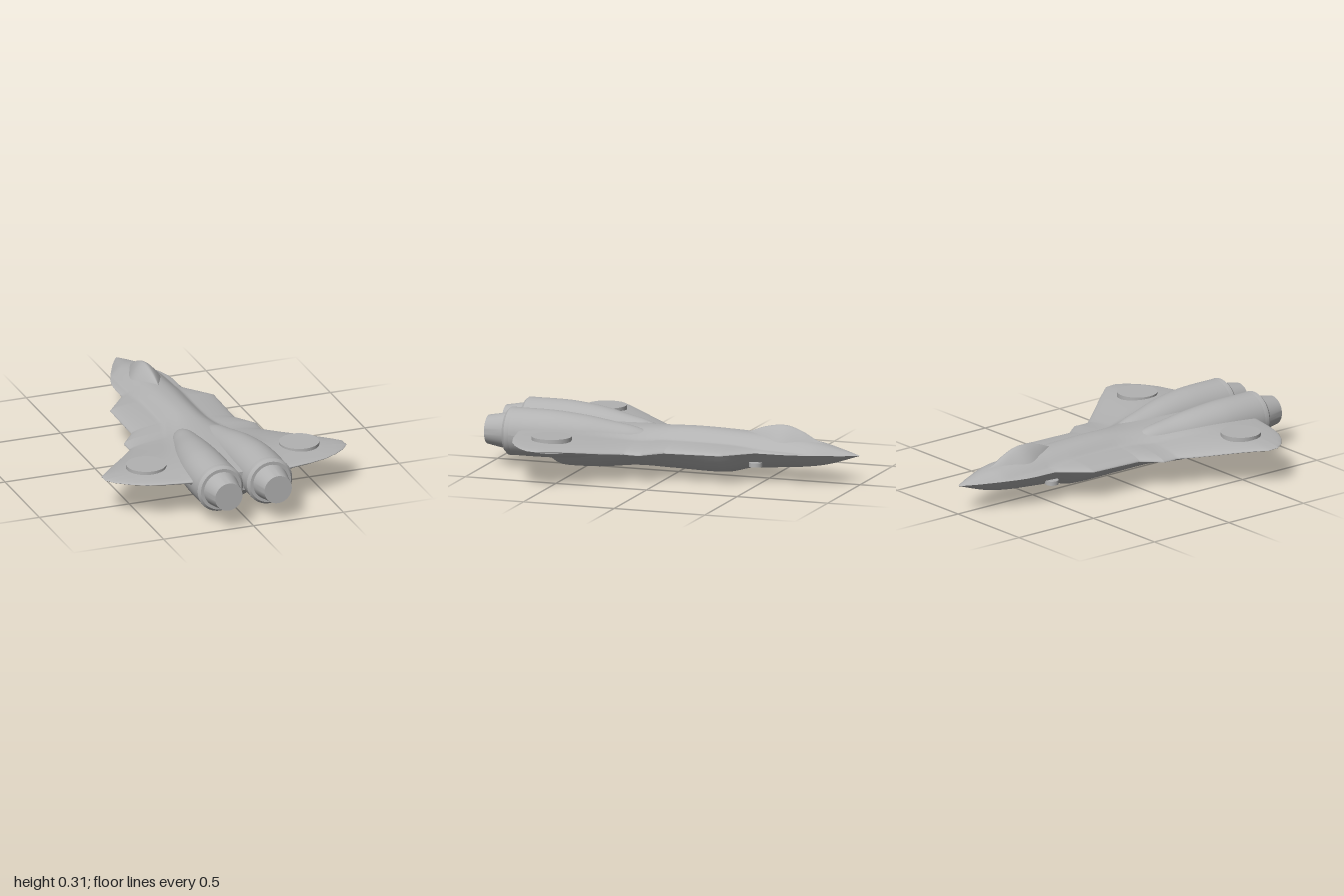
import * as THREE from 'three';
import { toCreasedNormals } from 'three/addons/utils/BufferGeometryUtils.js';

// Value at z from [z, value] keys: straight, or smoothed through the keys
function at(keys, z, smooth = true) {
  const n = keys.length - 1;
  if (z <= keys[0][0]) return keys[0][1];
  if (z >= keys[n][0]) return keys[n][1];
  let i = 0;
  while (z > keys[i + 1][0]) i++;
  const [z0, a] = keys[i], [z1, b] = keys[i + 1], d = z1 - z0, t = (z - z0) / d;
  if (!smooth) return a + (b - a) * t;
  const slope = (k) => {
    const p = keys[Math.max(k - 1, 0)], q = keys[Math.min(k + 1, n)];
    return (q[1] - p[1]) / (q[0] - p[0]);
  };
  const t2 = t * t, t3 = t2 * t;
  return (2 * t3 - 3 * t2 + 1) * a + (t3 - 2 * t2 + t) * d * slope(i)
    + (3 * t2 - 2 * t3) * b + (t3 - t2) * d * slope(i + 1);
}

// Surface over z stations; fn(z, v) gives [x, y] for v in 0..1
function loft(zs, cols, fn, flip) {
  const pos = [], idx = [], s = cols + 1;
  zs.forEach((z, i) => {
    for (let j = 0; j <= cols; j++) {
      pos.push(...fn(z, j / cols), z);
      if (i && j) {
        const d = i * s + j, c = d - 1, b = d - s, a = b - 1;
        if (flip) idx.push(a, b, c, b, d, c);
        else idx.push(a, c, b, b, c, d);
      }
    }
  });
  const g = new THREE.BufferGeometry();
  g.setAttribute('position', new THREE.Float32BufferAttribute(pos, 3));
  g.setIndex(idx);
  g.computeVertexNormals();
  return g;
}

function stations(from, to, n, extra = []) {
  const zs = Array.from({ length: n + 1 }, (_, i) => from + (to - from) * i / n);
  return [...new Set([...zs, ...extra])].sort((a, b) => a - b);
}

// Planform half-width, nose to tail
const outline = [[-1, 0], [-0.98, 0.014], [-0.95, 0.032], [-0.9, 0.06], [-0.8, 0.107], [-0.72, 0.14], [-0.66, 0.158],
  [-0.6, 0.166], [-0.48, 0.168], [-0.33, 0.29], [-0.02, 0.29], [0.08, 0.37], [0.17, 0.37], [0.54, 0.67],
  [0.6, 0.67], [0.65, 0.635], [0.7, 0.575], [0.74, 0.505], [0.77, 0.41], [0.785, 0.33], [0.8, 0.25]];
// Height of the sharp edge, and wing thickness above and below it
const edgeY = [[-1, 0.155], [-0.6, 0.165], [0, 0.155], [0.17, 0.152], [0.5, 0.193], [0.8, 0.205]];
const wingUp = [[-1, 0], [-0.6, 0.015], [-0.3, 0.035], [0.17, 0.045], [0.55, 0.033], [0.8, 0.012]];
const wingDown = [[-1, 0], [-0.5, 0.005], [0, 0.012], [0.17, 0.015], [0.5, 0.025], [0.8, 0.015]];
// Spine and belly lines with their half-widths
const spine = [[-1, 0.155], [-0.9, 0.182], [-0.78, 0.21], [-0.6, 0.23], [-0.38, 0.243], [-0.1, 0.25],
  [0.15, 0.24], [0.5, 0.235], [0.8, 0.225]];
const spineWidth = [[-1, 0.1], [-0.6, 0.13], [0, 0.13], [0.2, 0.19], [0.6, 0.33], [0.8, 0.28]];
const belly = [[-1, 0.155], [-0.8, 0.095], [-0.5, 0.063], [-0.42, 0.058], [-0.28, 0.025], [0, 0.027], [0.2, 0.03],
  [0.38, 0.01], [0.45, 0.005], [0.6, 0.003], [0.64, 0.012], [0.7, 0.055], [0.8, 0.12]];
const bellyWidth = [[-1, 0.12], [-0.5, 0.165], [-0.3, 0.18], [0.2, 0.21], [0.5, 0.25], [0.8, 0.25]];

function skin(wing, line, width, sign) {
  return (z, v) => {
    const w = at(outline, z, false), u = Math.sin((v - 0.5) * Math.PI), x = u * w;
    const y0 = at(edgeY, z), t = sign * at(wing, z);
    const b = Math.max(Math.min(at(width, z), w), 1e-5);
    const hump = Math.pow(Math.max(0, 1 - Math.pow(Math.abs(x) / b, 2.5)), 1.3);
    return [x, y0 + t * Math.sqrt(Math.max(0, 1 - u * u)) + (at(line, z) - y0 - t) * hump];
  };
}

export function createModel() {
  const group = new THREE.Group();
  const grey = new THREE.MeshStandardMaterial({ color: 0xb2b2b2 });
  grey.name = 'hull grey';
  const add = (name, geometry, x = 0, y = 0, z = 0) => {
    const m = new THREE.Mesh(geometry, grey);
    m.name = name;
    m.position.set(x, y, z);
    group.add(m);
    return m;
  };

  // Blended fuselage and wings
  const zs = stations(-1, 0.8, 90, outline.map((k) => k[0]));
  const top = skin(wingUp, spine, spineWidth, 1);
  const bottom = skin(wingDown, belly, bellyWidth, -1);
  add('upperHull', loft(zs, 72, top, false));
  add('lowerHull', loft(zs, 72, bottom, true));

  // Tail closing face
  const tail = new THREE.Shape();
  for (let i = 0; i <= 24; i++) tail[i ? 'lineTo' : 'moveTo'](...bottom(0.8, i / 24));
  for (let i = 23; i > 0; i--) tail.lineTo(...top(0.8, i / 24));
  add('tailFace', new THREE.ShapeGeometry(tail), 0, 0, 0.8);

  // Teardrop canopy with a centre ridge
  const canopyWidth = [[-0.82, 0], [-0.7, 0.055], [-0.58, 0.09], [-0.47, 0.065], [-0.41, 0.035], [-0.38, 0]];
  const crest = [[-0.82, 0.2], [-0.76, 0.222], [-0.68, 0.265], [-0.59, 0.291], [-0.48, 0.277], [-0.38, 0.24]];
  add('canopy', loft(stations(-0.82, -0.38, 36), 24, (z, v) => {
    const u = 2 * v - 1;
    return [u * at(canopyWidth, z), 0.195 + (at(crest, z) - 0.195) * (1 - Math.pow(Math.abs(u), 1.5))];
  }, false));

  // Nacelle centre and radius, growing out of the hull
  const nx = [[0.1, 0.075], [0.3, 0.1], [0.45, 0.12], [0.6, 0.133], [0.72, 0.137], [0.85, 0.137]];
  const ny = [[0.1, 0.175], [0.3, 0.175], [0.45, 0.18], [0.65, 0.185], [0.85, 0.185]];
  const nr = [[0.1, 0.03], [0.2, 0.066], [0.3, 0.086], [0.45, 0.109], [0.6, 0.122], [0.7, 0.125], [0.85, 0.125]];

  // Stepped collar and tapered nozzle
  const profile = [[0.125, 0.85], [0.126, 0.86], [0.126, 0.875], [0.113, 0.89], [0.096, 0.89], [0.076, 1], [0, 1]];
  const nozzle = toCreasedNormals(new THREE.LatheGeometry(
    profile.map(([r, y]) => new THREE.Vector2(r, y)), 48).rotateX(Math.PI / 2).toNonIndexed(), 0.4);
  const disc = (r, h) => new THREE.CylinderGeometry(r, r, h, 48);

  for (const [side, s] of [['left', 1], ['right', -1]]) {
    add(side + 'Nacelle', loft(stations(0.1, 0.85, 40), 48, (z, v) => {
      const a = v * Math.PI * 2, r = at(nr, z);
      return [s * at(nx, z) + r * Math.cos(a), at(ny, z) + r * Math.sin(a)];
    }, true));
    add(side + 'Nozzle', nozzle, s * 0.137, 0.185, 0);
    // Round lift fan through the wing
    add(side + 'WingDisc', disc(0.105, 0.074), s * 0.425, 0.199, 0.55);
    // Small round pad under the nose
    add(side + 'NosePad', disc(0.036, 0.022), s * 0.115, 0.096, -0.465);
  }
  return group;
}
